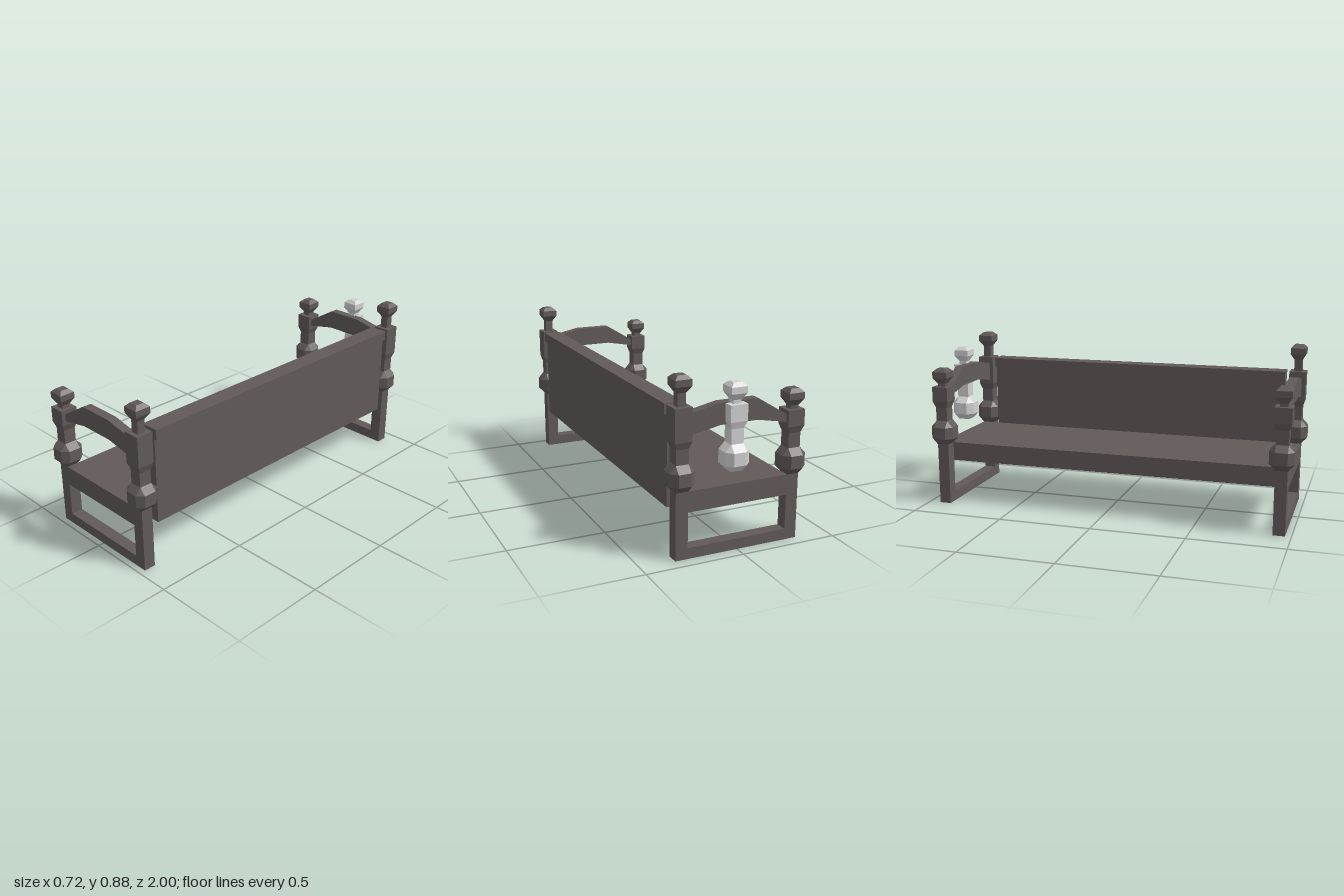
import * as THREE from 'three';
import { ConvexGeometry } from 'three/addons/geometries/ConvexGeometry.js';

const darkWood = new THREE.MeshStandardMaterial({ color: 0x615a58 });
darkWood.name = 'dark wood';
const paleWood = new THREE.MeshStandardMaterial({ color: 0xd2d2d2 });
paleWood.name = 'pale wood';

function addMesh(parent, name, geometry, material = darkWood) {
  const mesh = new THREE.Mesh(geometry, material);
  mesh.name = name;
  parent.add(mesh);
  return mesh;
}

// Box from its minimum and maximum corners
function addBox(parent, name, [x0, y0, z0], [x1, y1, z1]) {
  const mesh = addMesh(parent, name, new THREE.BoxGeometry(x1 - x0, y1 - y0, z1 - z0));
  mesh.position.set((x0 + x1) / 2, (y0 + y1) / 2, (z0 + z1) / 2);
  return mesh;
}

// Square turning from [half width, height] pairs, with flat faces
function squareTurning(profile) {
  const points = profile.map(([h, y]) => new THREE.Vector2(h * Math.SQRT2, y));
  const geometry = new THREE.LatheGeometry(points, 4, Math.PI / 4).toNonIndexed();
  geometry.computeVertexNormals();
  return geometry;
}

// Bulb with square faces and bevelled edges and corners
function bulbGeometry(outer, inner) {
  const points = [];
  for (const x of [-1, 1]) for (const y of [-1, 1]) for (const z of [-1, 1]) {
    points.push(
      new THREE.Vector3(x * outer, y * inner, z * inner),
      new THREE.Vector3(x * inner, y * outer * 1.04, z * inner),
      new THREE.Vector3(x * inner, y * inner, z * outer));
  }
  return new ConvexGeometry(points);
}

// Post with bulb, flared shaft, block and finial; extra lengths stretch the block and neck
function addPost(parent, name, x, y, z, extraBlock, extraNeck, material) {
  const post = new THREE.Group();
  post.name = name;
  post.position.set(x, y, z);
  parent.add(post);
  addMesh(post, 'bulb', bulbGeometry(0.063, 0.032), material).position.y = 0.066;
  const blockTop = 0.32 + extraBlock;
  const neckTop = blockTop + 0.017 + extraNeck;
  addMesh(post, 'shaft', squareTurning([
    [0.032, 0.12], [0.032, 0.205], [0.044, 0.24], [0.044, blockTop], [0, blockTop],
  ]), material);
  addMesh(post, 'finial', squareTurning([
    [0.021, blockTop], [0.021, neckTop], [0.041, neckTop + 0.032],
    [0.041, neckTop + 0.064], [0.022, neckTop + 0.082], [0, neckTop + 0.082],
  ]), material);
}

// Flat outline extruded along z and centred on it
function slab(shape, depth) {
  const geometry = new THREE.ExtrudeGeometry(shape, { depth, bevelEnabled: false });
  geometry.translate(0, 0, -depth / 2);
  return geometry;
}

function polygon(points, Type = THREE.Shape) {
  return new Type(points.map(([x, y]) => new THREE.Vector2(x, y)));
}

// End: open frame, two posts and an arched rail
function addEnd(parent, name, z) {
  const end = new THREE.Group();
  end.name = name;
  end.position.z = z;
  parent.add(end);

  const frame = polygon([[-0.325, 0], [0.325, 0], [0.325, 0.335], [-0.325, 0.335]]);
  frame.holes.push(polygon(
    [[-0.262, 0.055], [-0.262, 0.232], [0.262, 0.232], [0.262, 0.055]], THREE.Path));
  addMesh(end, 'legFrame', slab(frame, 0.062));

  addPost(end, 'shortPost', -0.295, 0.335, 0, 0, 0, darkWood);
  addPost(end, 'tallPost', 0.294, 0.335, 0, 0.08, 0.046, darkWood);

  const arch = polygon([
    [-0.26, 0.595], [-0.095, 0.627], [0.1, 0.627], [0.26, 0.595],
    [0.26, 0.698], [0.1, 0.731], [-0.095, 0.731], [-0.26, 0.629],
  ]);
  addMesh(end, 'archedRail', slab(arch, 0.048));
}

export function createModel() {
  const bench = new THREE.Group();
  bench.name = 'bench';

  addEnd(bench, 'frontEnd', 0.937);
  addEnd(bench, 'backEnd', -0.906);

  // Seat and side backrest
  addBox(bench, 'seat', [-0.262, 0.233, -0.876], [0.265, 0.335, 0.907]);
  addBox(bench, 'backrestPanel', [0.262, 0.233, -0.842], [0.325, 0.682, 0.872]);
  addBox(bench, 'backrestTopRail', [0.244, 0.682, -0.842], [0.339, 0.734, 0.872]);

  // Pale turned ornament on the back arch
  addPost(bench, 'paleOrnament', 0.031, 0.4075, -0.937, 0, 0, paleWood);
  return bench;
}
